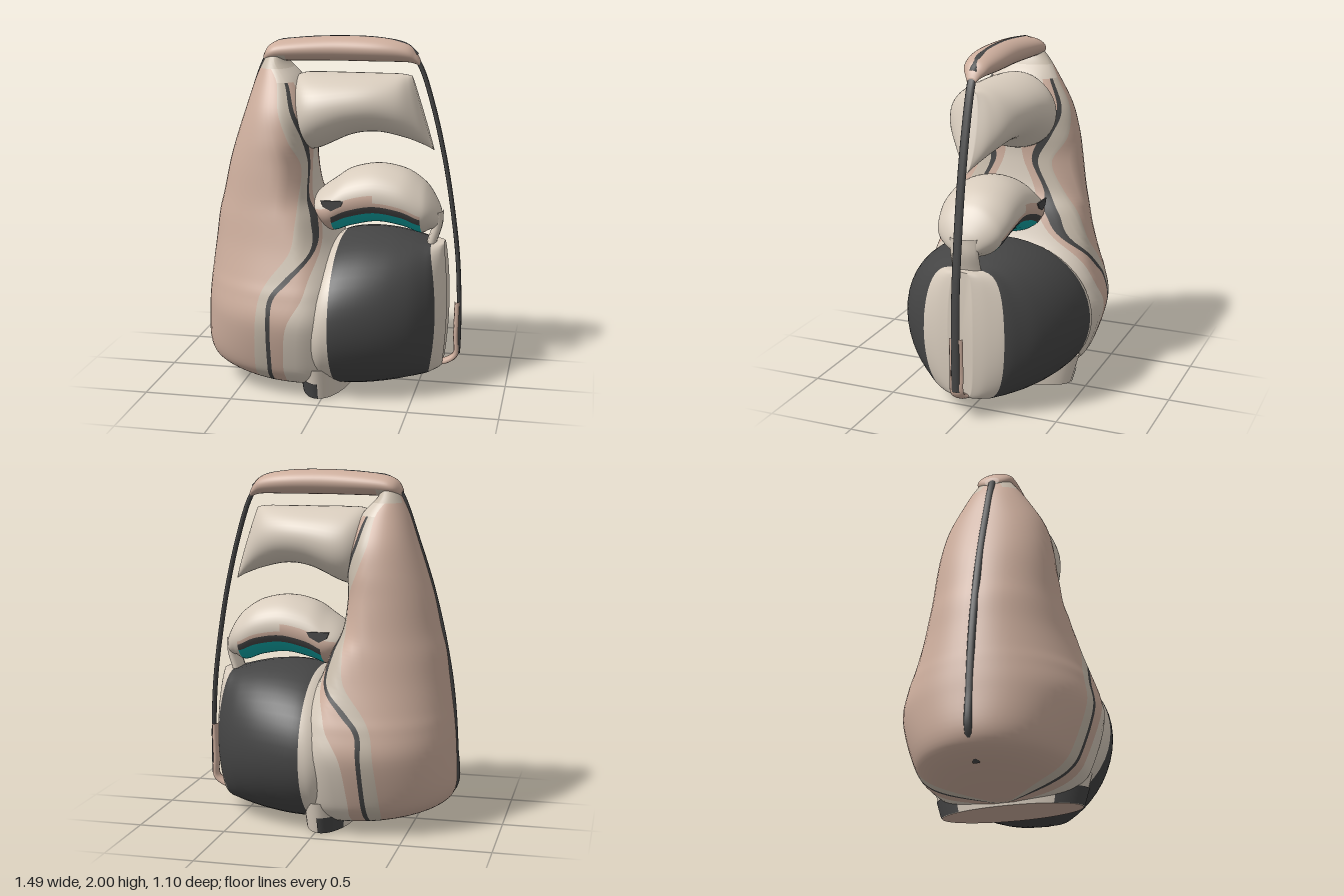
import * as THREE from 'three';

const mat = (name, color) => Object.assign(new THREE.MeshStandardMaterial({ color }), { name });
const tan = mat('dusty tan', 0xcdae9d);
const bone = mat('pale bone', 0xd8ccbd);
const stone = mat('stone', 0xc8bcac);
const dark = mat('charcoal', 0x454545);
const teal = mat('teal', 0x0fabab);
const palette = [tan, bone, stone, dark, teal];
const [TAN, BONE, STONE, DARK, TEAL] = [0, 1, 2, 3, 4];

// Smooth interpolation of a table of section parameters
function sample(rows, t) {
  const last = rows.length - 1;
  const i = Math.min(Math.floor(t), last - 1), f = t - i;
  const p = k => rows[Math.max(0, Math.min(last, k))];
  return rows[0].map((_, c) => {
    const a = p(i - 1)[c], b = p(i)[c], d = p(i + 1)[c], e = p(i + 2)[c];
    return b + 0.5 * f * (d - a + f * (2 * a - 5 * b + 4 * d - e + f * (3 * (b - d) + e - a)));
  });
}

// Closed skin over cross-sections; colorAt(row position, ring index) picks the material
function loft(name, rows, section, colorAt, sub = 6) {
  const steps = (rows.length - 1) * sub, pos = [], faces = palette.map(() => []);
  let n = 0;
  const centre = ring => [0, 1, 2].map(k => ring.reduce((s, q) => s + q[k], 0) / ring.length);
  const ends = [];
  for (let i = 0; i <= steps; i++) {
    const ring = section(sample(rows, i / sub));
    n = ring.length;
    ring.forEach(q => pos.push(...q));
    if (i === 0 || i === steps) ends.push(centre(ring));
  }
  const c0 = pos.length / 3, c1 = c0 + 1;
  ends.forEach(q => pos.push(...q));
  for (let j = 0; j < n; j++) {
    const k = (j + 1) % n, top = steps * n;
    for (let i = 0; i < steps; i++) {
      const a = i * n + j, b = i * n + k;
      faces[colorAt((i + 0.5) / sub, j)].push(a, b, a + n, b, b + n, a + n);
    }
    faces[colorAt(0, j)].push(c0, k, j);
    faces[colorAt(rows.length - 1, j)].push(c1, top + j, top + k);
  }
  const g = new THREE.BufferGeometry();
  g.setAttribute('position', new THREE.Float32BufferAttribute(pos, 3));
  g.setIndex(faces.flat());
  let start = 0;
  faces.forEach((f, m) => {
    if (f.length) g.addGroup(start, f.length, m);
    start += f.length;
  });
  g.computeVertexNormals();
  const mesh = new THREE.Mesh(g, palette);
  mesh.name = name;
  return mesh;
}

// Oval section across x: [x, bottom, top, half depth, squareness power, bow, shear]
const RING = 48;
const oval = ([x, bot, top, w, power = 1, bow = 0, shear = 0]) =>
  Array.from({ length: RING }, (_, j) => {
    const a = (j / RING) * Math.PI * 2, c = Math.cos(a), s = Math.sin(a);
    return [x - bow * c * c - shear * c, (top + bot) / 2 + c * (top - bot) / 2,
      w * Math.sign(s) * Math.abs(s) ** power];
  });
const degrees = j => { const a = ((j + 0.5) / RING) * 360; return a > 180 ? 360 - a : a; };

// Horizontal column section, split at the stripe borders
const bands = [[14, TAN], [3, STONE], [2, DARK], [3, TAN], [8, BONE]];
const bandColors = bands.flatMap(([n, c]) => Array(n).fill(c));
function columnSection([y, x0, b, d0, d1, p, x1, xc, w]) {
  const knots = [x0, b, d0, d1, p, x1], xs = [];
  bands.forEach(([n], k) => {
    for (let i = 0; i < n; i++) {
      let s = i / n;
      if (k === 0) s = 1 - Math.cos(s * Math.PI / 2);
      if (k === 4) s = Math.sin(s * Math.PI / 2);
      xs.push(knots[k] + (knots[k + 1] - knots[k]) * s);
    }
  });
  xs.push(x1);
  const z = x => {
    const t = Math.abs((x - xc) / (x < xc ? xc - x0 : x1 - xc));
    return w * Math.max(0, 1 - t ** 2.2) ** 0.48;
  };
  const half = xs.map(x => [x, y, z(x)]);
  const back = half.slice(1, -1).reverse().map(([x, yy, zz]) => [x, yy, -zz]);
  return [...half, ...back];
}

function tube(name, points, radius, depth, material) {
  const curve = new THREE.CatmullRomCurve3(points.map(([x, y]) => new THREE.Vector3(x, y, 0)), false, 'centripetal');
  const mesh = new THREE.Mesh(new THREE.TubeGeometry(curve, 100, radius, 10).scale(1, 1, depth), material);
  mesh.name = name;
  return mesh;
}

export function createModel() {
  const model = new THREE.Group();
  model.name = 'model';

  // Tall column with stripes: y, x0, four stripe borders, x1, widest x, half depth
  const m = bandColors.length;
  model.add(loft('column', [
    [0.015, -0.25, -0.2, -0.19, -0.185, -0.15, -0.05, -0.15, 0.06],
    [0.05, -0.47, -0.34, -0.29, -0.27, -0.2, 0.08, -0.12, 0.3],
    [0.12, -0.66, -0.37, -0.3, -0.275, -0.2, 0.14, -0.12, 0.42],
    [0.22, -0.735, -0.37, -0.295, -0.27, -0.2, 0.16, -0.12, 0.48],
    [0.45, -0.733, -0.35, -0.285, -0.26, -0.17, 0.16, -0.12, 0.548],
    [0.6, -0.722, -0.33, -0.275, -0.245, -0.09, 0.15, -0.12, 0.525],
    [0.7, -0.71, -0.28, -0.2, -0.16, -0.06, 0.12, -0.12, 0.49],
    [0.85, -0.69, -0.17, -0.065, -0.042, -0.02, 0.03, -0.15, 0.44],
    [1.0, -0.67, -0.15, -0.08, -0.055, -0.045, -0.03, -0.2, 0.4],
    [1.12, -0.64, -0.15, -0.118, -0.11, -0.1, -0.09, -0.25, 0.37],
    [1.3, -0.6, -0.15, -0.128, -0.122, -0.117, -0.115, -0.28, 0.345],
    [1.45, -0.555, -0.21, -0.15, -0.132, -0.115, -0.11, -0.28, 0.325],
    [1.6, -0.505, -0.265, -0.205, -0.185, -0.15, -0.12, -0.28, 0.285],
    [1.75, -0.455, -0.29, -0.25, -0.235, -0.21, -0.18, -0.3, 0.2],
    [1.85, -0.41, -0.35, -0.32, -0.315, -0.3, -0.27, -0.33, 0.13],
    [1.92, -0.37, -0.35, -0.34, -0.338, -0.33, -0.3, -0.33, 0.07],
  ], columnSection, (r, j) => {
    const k = j < m ? j : 2 * m - 1 - j;
    return r > 13.6 && k > 3 ? STONE : r > 13 && k > 13 ? BONE : bandColors[k];
  }));

  // Round belly with a dark panel on each side and a flatter pale front edge
  model.add(loft('belly', [
    [-0.15, 0.1, 0.72, 0.4, 0.9, 0], [-0.03, 0.02, 0.82, 0.515, 0.9, 0], [0.06, 0.012, 0.88, 0.54, 0.9, 0],
    [0.2, 0.015, 0.905, 0.52, 0.9, 0], [0.35, 0.035, 0.9, 0.47, 0.85, 0.01], [0.48, 0.06, 0.88, 0.395, 0.75, 0.03],
    [0.565, 0.08, 0.86, 0.31, 0.6, 0.04], [0.612, 0.095, 0.85, 0.24, 0.42, 0.045],
    [0.645, 0.11, 0.85, 0.15, 0.4, 0.03], [0.66, 0.12, 0.85, 0.07, 0.4, 0.025],
  ], oval, r => (r > 2 && r < 7 ? DARK : BONE)));

  // Arched hood with a coloured lip and a teal underside
  model.add(loft('hood', [
    [-0.14, 1.0, 1.06, 0.12], [-0.08, 0.94, 1.13, 0.2], [0, 0.895, 1.19, 0.23],
    [0.1, 0.925, 1.255, 0.225], [0.25, 0.955, 1.285, 0.22], [0.4, 0.935, 1.26, 0.215],
    [0.5, 0.9, 1.2, 0.195], [0.55, 0.92, 1.145, 0.165], [0.595, 0.93, 1.07, 0.1], [0.615, 0.95, 1.02, 0.04],
  ], oval, (r, j) => {
    const a = degrees(j);
    if (r > 6.2 || a < (r < 4 ? 82 : 95)) return BONE;
    if (a < 105 || r < 2.2) return TAN;
    return a < 120 ? DARK : TEAL;
  }));

  // Narrow post joining the hood to the belly
  model.add(tube('hoodPost', [[0.595, 1.03], [0.592, 0.95], [0.565, 0.86], [0.54, 0.78]], 0.028, 3, bone));

  // Upper block with a slanted tip
  model.add(loft('upperBlock', [
    [-0.25, 1.4, 1.76, 0.1, 1, 0, 0], [-0.18, 1.36, 1.79, 0.22, 1, 0, 0], [-0.08, 1.37, 1.795, 0.265, 1, 0, 0],
    [0.1, 1.45, 1.795, 0.25, 1, 0, 0], [0.25, 1.47, 1.795, 0.22, 1, 0, 0], [0.38, 1.44, 1.795, 0.17, 1, 0, 0.02],
    [0.46, 1.4, 1.79, 0.1, 1, 0, 0.05], [0.5, 1.37, 1.785, 0.03, 1, 0, 0.065],
  ], oval, () => BONE));

  // Handle bar across the top
  model.add(loft('topBar', [
    [-0.405, 1.85, 1.9, 0.04], [-0.365, 1.85, 1.95, 0.1], [-0.27, 1.855, 1.978, 0.11],
    [0, 1.86, 1.998, 0.1], [0.25, 1.86, 1.993, 0.1], [0.4, 1.86, 1.963, 0.075],
    [0.455, 1.85, 1.915, 0.045], [0.48, 1.835, 1.87, 0.025],
  ], oval, (r, j) => (r < 2 && degrees(j) > 110 ? STONE : TAN)));

  // Dark seam up the back and over the bar, then the free strap and its thicker lower end
  model.add(tube('backSeam', [[-0.6, 0.095], [-0.728, 0.215], [-0.727, 0.45], [-0.704, 0.75], [-0.664, 1.0],
    [-0.594, 1.3], [-0.499, 1.6], [-0.404, 1.86], [-0.34, 1.95], [-0.22, 1.973], [0, 1.987],
    [0.25, 1.982], [0.4, 1.952], [0.46, 1.9]], 0.013, 1.7, dark));
  model.add(tube('strap', [[0.44, 1.91], [0.49, 1.82], [0.56, 1.6], [0.63, 1.3], [0.68, 1.0],
    [0.71, 0.75], [0.723, 0.5], [0.725, 0.3], [0.722, 0.19]], 0.013, 1.9, dark));
  model.add(tube('strapEnd', [[0.714, 0.5], [0.71, 0.3], [0.708, 0.18], [0.66, 0.14], [0.58, 0.12]], 0.017, 2.4, tan));

  // Single crosswise foot with a tan sole
  const foot = new THREE.Group();
  foot.name = 'foot';
  foot.position.set(-0.025, 0, 0);
  const base = new THREE.Mesh(
    new THREE.CylinderGeometry(0.16, 0.142, 0.18, 48).scale(1, 1, 2.82).translate(0, 0.09, 0), [bone, bone, tan]);
  base.name = 'footBase';
  foot.add(base);

  // Dark spot outline, a thin plate on each side of the hood
  const spotShape = new THREE.Shape([[-0.04, 1.105], [0.09, 1.105], [0.075, 1.075], [0.02, 1.047], [-0.025, 1.07]]
    .map(([x, y]) => new THREE.Vector2(x, y)));
  const spotPlate = new THREE.ExtrudeGeometry(spotShape, { depth: 0.009, bevelEnabled: false }).translate(0, 0, -0.0045);

  for (const side of [1, -1]) {
    // Dark toe patch
    const start = side > 0 ? -0.85 : Math.PI - 0.05;
    const toe = new THREE.Mesh(
      new THREE.CylinderGeometry(0.154, 0.144, 0.095, 16, 1, true, start, 0.9).scale(1, 1, 2.82).translate(0, 0.049, 0), dark);
    toe.name = 'toePatch';
    foot.add(toe);

    const spot = new THREE.Mesh(spotPlate, dark);
    spot.name = side > 0 ? 'leftSpot' : 'rightSpot';
    spot.position.z = side * 0.2275;
    model.add(spot);
  }
  model.add(foot);
  return model;
}
